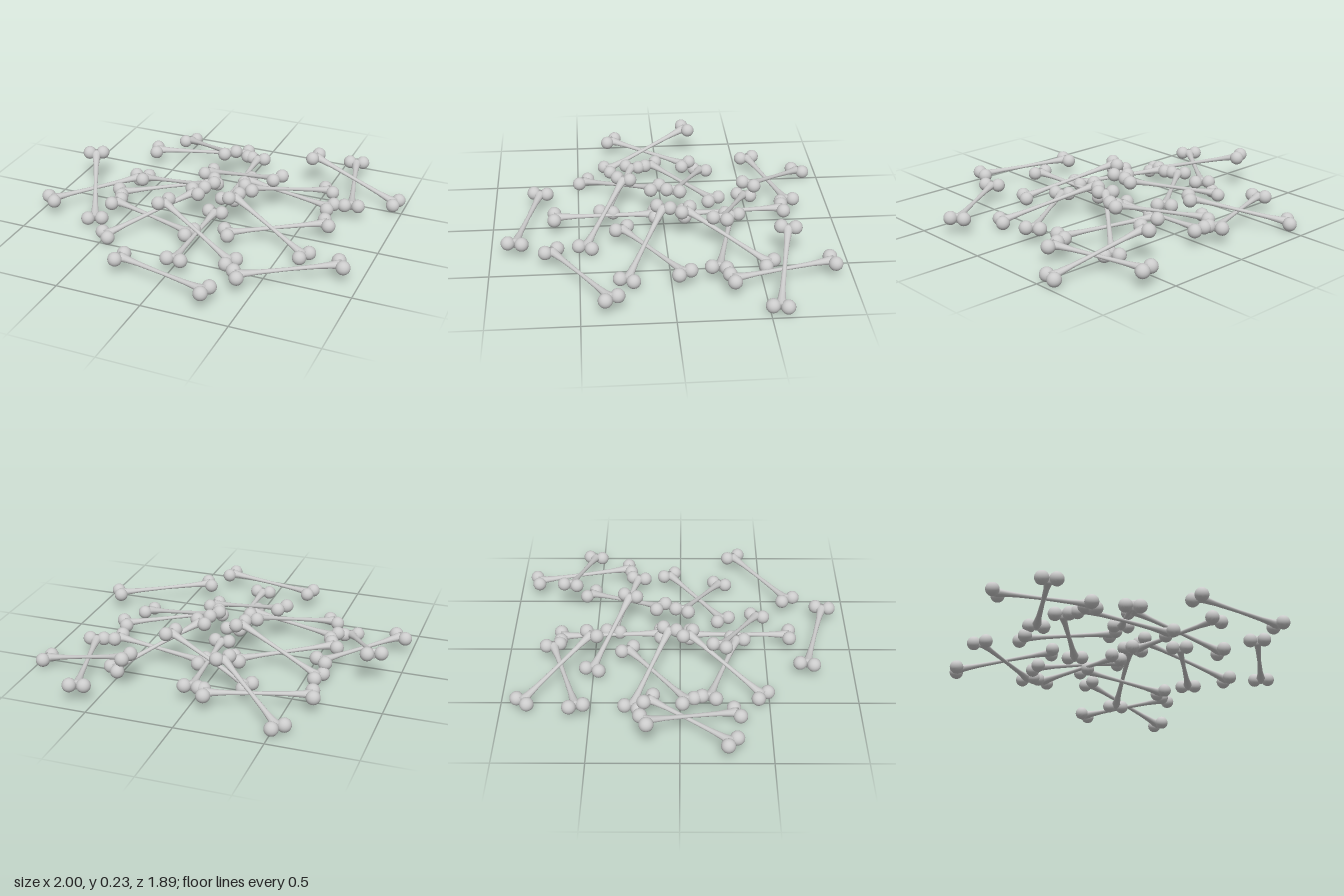
import * as THREE from 'three';

const KNOB_R = 0.04, KNOB_OFFSET = 0.04;
const FLAT = 0.095, HIGH = 0.197, LOW = 0.045;

// bones lying level: x, z of one end, x, z of the other
const levelBones = [
  [-0.635, -0.57, -0.075, -0.74],
  [0.01, -0.70, 0.04, -0.115],
  [0.06, -0.395, 0.63, -0.26],
  [0.60, -0.89, 0.74, -0.32],
  [-0.115, -0.305, -0.59, 0.045],
  [-0.57, -0.175, -0.93, 0.28],
  [-0.56, 0.16, -0.01, 0.335],
  [0.03, 0.055, 0.03, 0.64],
  [0.67, -0.07, 0.18, 0.255],
  [0.885, 0.335, 0.395, 0.655],
  [-0.255, 0.725, 0.31, 0.86],
];

// bones leaning on another: x, z of the raised end, x, z of the lower end
const leaningBones = [
  [-0.105, -0.51, -0.535, -0.88],
  [0.285, -0.30, -0.245, -0.505],
  [0.17, -0.115, 0.53, -0.555],
  [0.40, -0.67, 0.95, -0.55],
  [-0.055, -0.06, -0.585, -0.27],
  [-0.875, -0.195, -0.625, 0.315],
  [-0.10, 0.045, -0.48, 0.465],
  [-0.22, 0.225, 0.295, 0.465],
  [0.13, 0.01, 0.645, 0.245],
];

export function createModel() {
  const model = new THREE.Group();
  model.name = 'bonePile';
  const material = new THREE.MeshStandardMaterial({ color: 0xcccccc });
  const knobGeometry = new THREE.SphereGeometry(KNOB_R, 20, 14);

  // waisted shaft, unit length along y, flaring toward both knob pairs
  const profile = [
    [0, -0.5], [0.034, -0.5], [0.031, -0.47], [0.023, -0.41], [0.016, -0.28], [0.012, 0],
    [0.016, 0.28], [0.023, 0.41], [0.031, 0.47], [0.034, 0.5], [0, 0.5],
  ].map(([r, y]) => new THREE.Vector2(r, y));
  const shaftGeometry = new THREE.LatheGeometry(profile, 10);

  function addBone(start, end) {
    const bone = new THREE.Group();
    bone.name = 'bone';
    const along = end.clone().sub(start);
    const length = along.length();
    along.normalize();
    // local y runs along the bone, local x lies level across it
    const across = new THREE.Vector3(along.z, 0, -along.x).normalize();
    const normal = across.clone().cross(along);
    bone.quaternion.setFromRotationMatrix(new THREE.Matrix4().makeBasis(across, along, normal));
    bone.position.copy(start).lerp(end, 0.5);

    const shaft = new THREE.Mesh(shaftGeometry, material);
    shaft.name = 'shaft';
    shaft.scale.set(1, length, 0.8);
    bone.add(shaft);

    // two knobs at each end
    for (const side of [-1, 1]) {
      for (const tip of [-1, 1]) {
        const knob = new THREE.Mesh(knobGeometry, material);
        knob.name = 'knob';
        knob.position.set(side * KNOB_OFFSET, tip * length / 2, 0);
        bone.add(knob);
      }
    }
    model.add(bone);
  }

  for (const [x1, z1, x2, z2] of levelBones) {
    addBone(new THREE.Vector3(x1, FLAT, z1), new THREE.Vector3(x2, FLAT, z2));
  }
  for (const [x1, z1, x2, z2] of leaningBones) {
    addBone(new THREE.Vector3(x1, HIGH, z1), new THREE.Vector3(x2, LOW, z2));
  }
  return model;
}
